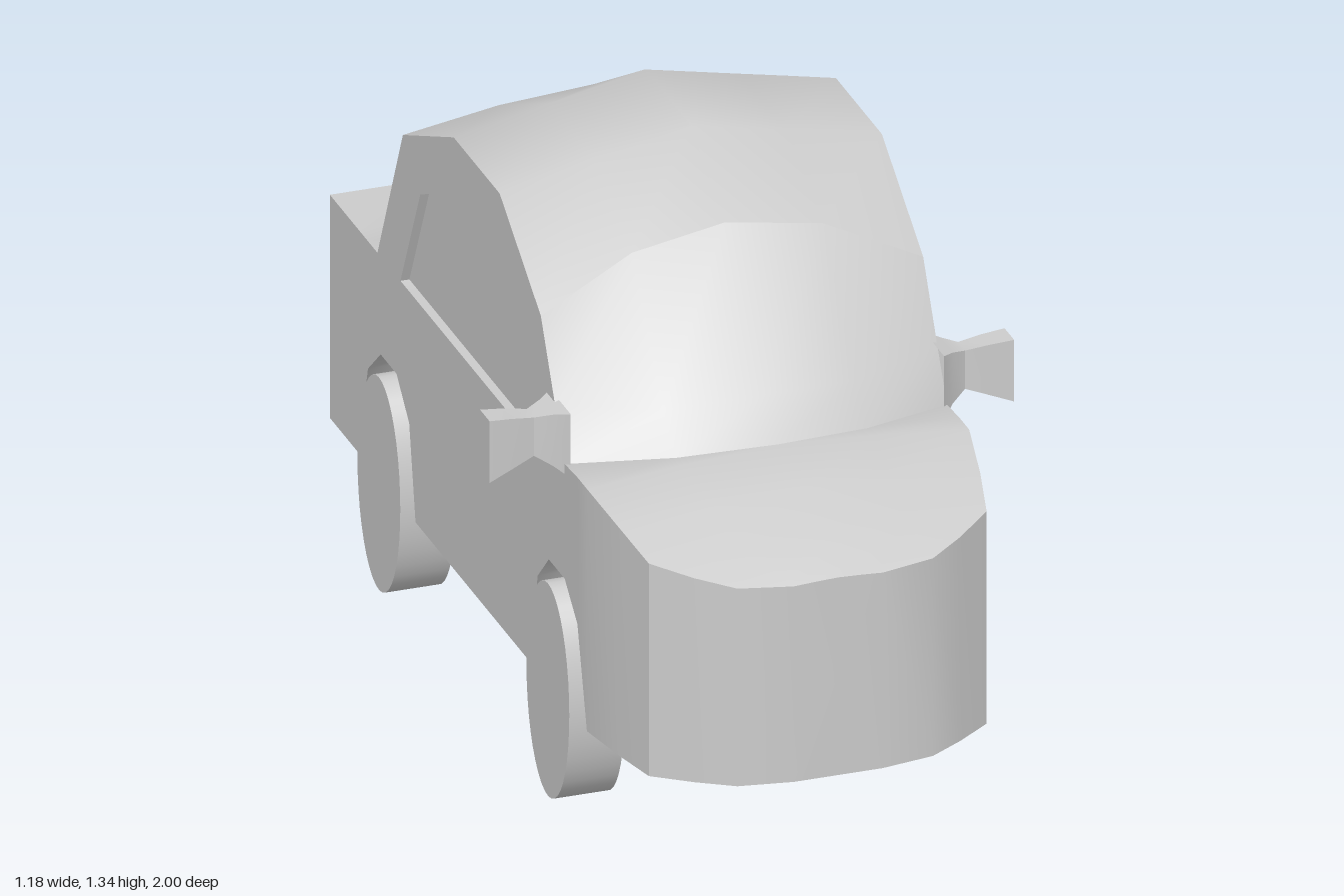
import * as THREE from 'three';
import { toCreasedNormals } from 'three/addons/utils/BufferGeometryUtils.js';

const material = new THREE.MeshStandardMaterial({ color: 0xcccccc, side: THREE.DoubleSide });

// Skin a list of point rows into a smooth surface with creased edges
function skin(name, rows, closed = false) {
  const n = rows[0].length, index = [];
  for (let r = 0; r < rows.length - 1; r++) {
    for (let j = 0; j < (closed ? n : n - 1); j++) {
      const k = (j + 1) % n;
      const a = r * n + j, b = r * n + k, c = a + n, d = b + n;
      index.push(a, c, b, b, c, d);
    }
  }
  const geo = new THREE.BufferGeometry();
  geo.setAttribute('position', new THREE.Float32BufferAttribute(rows.flat(2), 3));
  geo.setIndex(index);
  const mesh = new THREE.Mesh(toCreasedNormals(geo, 0.65), material);
  mesh.name = name;
  return mesh;
}

// A row with every point at the middle of another row, used to close an end
function middle(row) {
  const m = [0, 1, 2].map(i => (Math.min(...row.map(p => p[i])) + Math.max(...row.map(p => p[i]))) / 2);
  return row.map(() => m);
}

const FLOOR = 0.235;

// Body stations: z, half width, top at the side, top at the centre, lower edge (raised in wheel arches)
const STATIONS = [
  [1, 0.1, 0.695, 0.7, FLOOR],
  [0.98, 0.22, 0.7, 0.71, FLOOR],
  [0.93, 0.3, 0.715, 0.735, FLOOR],
  [0.87, 0.38, 0.735, 0.76, FLOOR],
  [0.76, 0.405, 0.77, 0.8, FLOOR],
  [0.62, 0.43, 0.805, 0.84, FLOOR],
  [0.56, 0.43, 0.805, 0.83, 0.46],
  [0.48, 0.43, 0.8, 0.8, 0.53],
  [0.38, 0.43, 0.765, 0.77, 0.53],
  [0.31, 0.43, 0.76, 0.76, 0.46],
  [0.26, 0.43, 0.76, 0.76, FLOOR],
  [-0.46, 0.43, 0.76, 0.76, FLOOR],
  [-0.5, 0.43, 0.76, 0.76, 0.45],
  [-0.58, 0.43, 0.76, 0.76, 0.53],
  [-0.68, 0.43, 0.76, 0.83, 0.53],
  [-0.76, 0.43, 0.76, 0.8, 0.46],
  [-0.82, 0.43, 0.76, 0.76, FLOOR],
  [-1, 0.43, 0.76, 0.76, FLOOR],
];

function body() {
  const rings = STATIONS.map(([z, w, side, top, low]) => {
    const inner = Math.min(0.3, w * 0.8);
    const half = [
      [inner, FLOOR], [inner, low], [w, low], [w, side],
      [w * 0.5, side + (top - side) * 0.6],
    ];
    const left = half.map(([x, y]) => [x, y, z]);
    const right = half.map(([x, y]) => [-x, y, z]).reverse();
    return [[0, FLOOR, z], ...left, [0, top, z], ...right];
  });
  return skin('body', [middle(rings[0]), ...rings, middle(rings.at(-1))], true);
}

// Cabin arcs across the car: side, half-way and centre points as [y, z]
const arc = (side, mid, centre) => [
  [0.43, ...side], [0.215, ...mid], [0, ...centre], [-0.215, ...mid], [-0.43, ...side],
];
const SCREEN_TOP = arc([1.08, 0.33], [1.18, 0.3], [1.21, 0.285]);
const ROOF_END = arc([1.11, -0.54], [1.145, -0.54], [1.16, -0.54]);

const WINDSCREEN = [
  arc([0.8, 0.48], [0.825, 0.58], [0.84, 0.62]),
  arc([0.91, 0.42], [0.9, 0.5], [0.915, 0.53]),
  SCREEN_TOP,
];
const ROOF = [
  SCREEN_TOP,
  arc([1.25, 0.07], [1.295, 0.07], [1.34, 0.07]),
  arc([1.25, -0.22], [1.295, -0.22], [1.34, -0.22]),
  ROOF_END,
];
const REAR_WINDOW = [
  ROOF_END,
  arc([0.76, -0.7], [0.81, -0.7], [0.84, -0.7]),
];

// Side frame and window opening as [y, z], front to back
const FRAME = [[0.8, 0.48], [0.91, 0.42], [1.08, 0.33], [1.25, 0.07], [1.25, -0.22], [1.11, -0.54], [0.76, -0.7]];
const OPENING = [[0.76, 0.36], [0.84, 0.355], [1.04, 0.25], [1.12, 0.07], [1.12, -0.22], [1.02, -0.43], [0.76, -0.555]];

function sideParts() {
  const side = new THREE.Group();
  const at = (points, x) => points.map(p => [x, ...p]);
  const opening = at(OPENING, 0.43), pane = at(OPENING, 0.41);
  side.add(skin('windowFrame', [at(FRAME, 0.43), opening, pane]));
  side.add(skin('sideWindow', [pane, middle(pane)], true));

  // Door mirror sections: x, bottom, top, back, front
  const sections = [
    [0.42, 0.77, 0.92, 0.36, 0.49],
    [0.45, 0.79, 0.91, 0.38, 0.46],
    [0.485, 0.81, 0.9, 0.395, 0.44],
    [0.54, 0.79, 0.91, 0.395, 0.45],
    [0.59, 0.77, 0.915, 0.395, 0.455],
  ].map(([x, y0, y1, z0, z1]) => [[x, y1, z1], [x, y1, z0], [x, y0, z0], [x, y0, z1]]);
  side.add(skin('doorMirror', [...sections, middle(sections.at(-1))], true));

  // Tall oval wheels
  for (const [name, z] of [['frontWheel', 0.43], ['rearWheel', -0.635]]) {
    const geo = new THREE.CylinderGeometry(0.25, 0.25, 0.125, 40);
    geo.rotateZ(Math.PI / 2).scale(1, 1, 0.54).translate(0.3875, 0.25, z);
    const wheel = new THREE.Mesh(geo, material);
    wheel.name = name;
    side.add(wheel);
  }
  return side;
}

export function createModel() {
  const car = new THREE.Group();
  car.name = 'car';
  car.add(body());
  car.add(skin('windscreen', WINDSCREEN), skin('roof', ROOF), skin('rearWindow', REAR_WINDOW));
  for (const s of [1, -1]) {
    const side = sideParts();
    side.name = s > 0 ? 'leftSide' : 'rightSide';
    side.scale.x = s;
    car.add(side);
  }
  return car;
}
